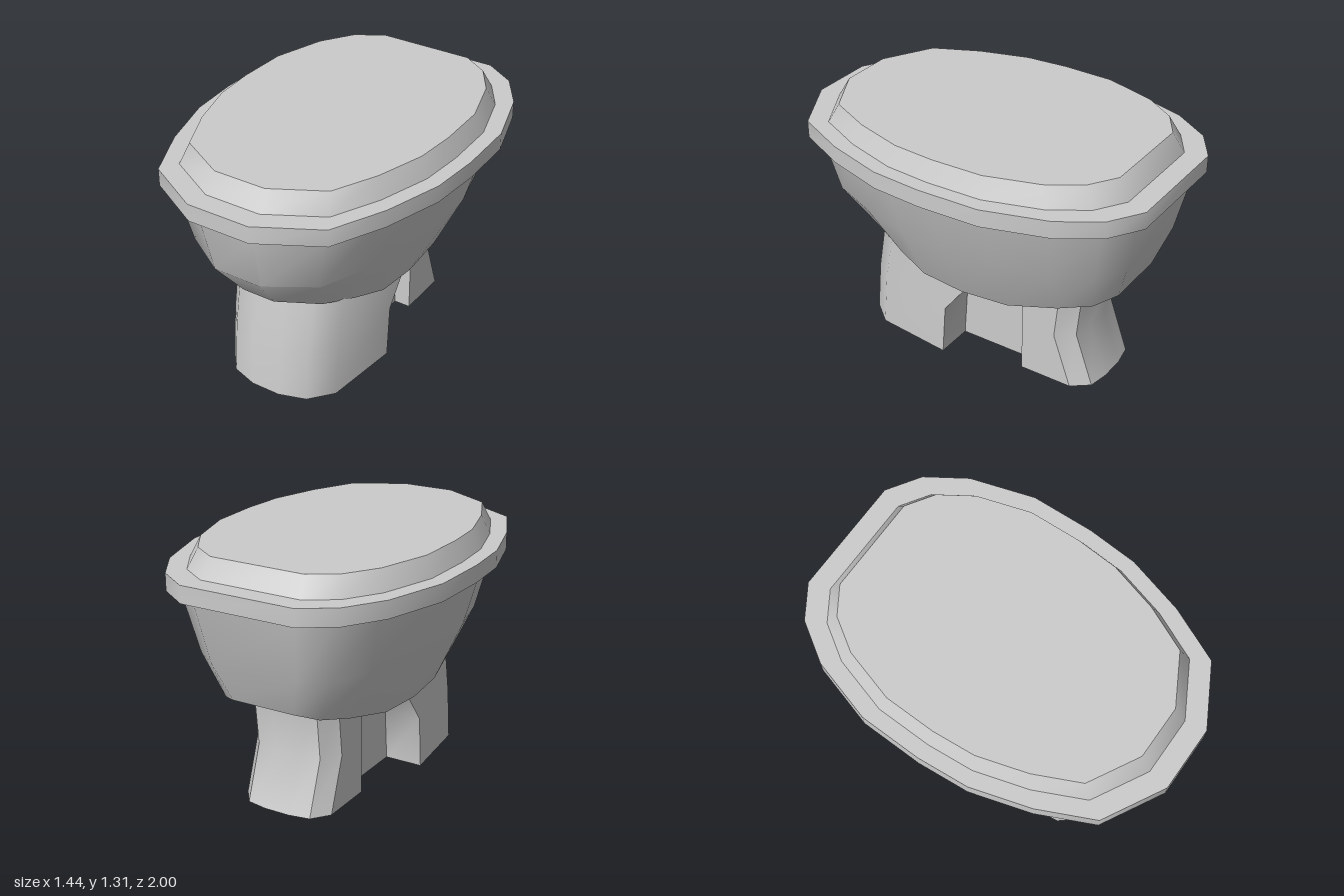
import * as THREE from 'three';
import { toCreasedNormals } from 'three/addons/utils/BufferGeometryUtils.js';

const material = new THREE.MeshStandardMaterial({ color: 0xcccccc });

// Lofts half sections (x >= 0, front to back, listed bottom to top),
// mirrored across x, with caps at both ends.
function loft(name, halfRings) {
  const h = halfRings[0].length;
  const n = h * 2;
  const positions = [];
  const index = [];
  for (const half of halfRings) {
    for (const p of half) positions.push(...p);
    for (const [x, y, z] of [...half].reverse()) positions.push(-x, y, z);
  }
  for (let r = 0; r < halfRings.length - 1; r++) {
    for (let i = 0; i < n; i++) {
      const a = r * n + i;
      const b = r * n + (i + 1) % n;
      index.push(a, b, b + n, a, b + n, a + n);
    }
  }
  const top = (halfRings.length - 1) * n;
  for (let k = 0; k < h - 1; k++) {
    const a = k, b = k + 1, c = n - 2 - k, d = n - 1 - k;
    index.push(top + a, top + b, top + c, top + a, top + c, top + d);
    index.push(a, c, b, a, d, c);
  }
  const geometry = new THREE.BufferGeometry();
  geometry.setAttribute('position', new THREE.Float32BufferAttribute(positions, 3));
  geometry.setIndex(index);
  const mesh = new THREE.Mesh(toCreasedNormals(geometry, 0.65), material);
  mesh.name = name;
  return mesh;
}

// Half of the egg-shaped plan, as [x, z] from front to back
const plan = [
  [0.17, 1], [0.48, 0.83], [0.61, 0.55], [0.70, 0.24], [0.72, -0.03],
  [0.71, -0.36], [0.61, -0.69], [0.48, -0.89], [0.31, -1],
];
const planAt = (y, sx, sz) => plan.map(([x, z]) => [x * sx, y, z * sz]);

// Lower edge of the bowl, arched up at front and back
const bowlEdge = [
  [0.09, 0.60, 0.72], [0.27, 0.565, 0.57], [0.34, 0.517, 0.38],
  [0.39, 0.475, 0.20], [0.40, 0.46, -0.04], [0.39, 0.475, -0.31],
  [0.34, 0.53, -0.57], [0.27, 0.565, -0.73], [0.17, 0.60, -0.81],
];

// Pedestal section: wide front lobe, narrow neck, rear lobe
function pedestalAt(y, front, lobeBack, back) {
  return [
    [0.08, front], [0.22, front - 0.045], [0.32, front - 0.165],
    [0.365, lobeBack], [0.16, lobeBack], [0.16, -0.31], [0.25, -0.31],
    [0.25, back + 0.11], [0.18, back + 0.02], [0.07, back],
  ].map(([x, z]) => [x, y, z]);
}

export function createModel() {
  const model = new THREE.Group();
  model.name = 'toilet';
  model.add(
    loft('pedestal', [
      pedestalAt(0, 0.695, 0.11, -0.71),
      pedestalAt(0.28, 0.67, 0.09, -0.61),
      pedestalAt(0.57, 0.62, -0.13, -0.64),
    ]),
    loft('bowl', [bowlEdge, planAt(0.80, 0.77, 0.88), planAt(1.10, 0.89, 0.945)]),
    loft('seat', [planAt(1.10, 0.89, 0.945), planAt(1.12, 1, 1), planAt(1.21, 1, 1)]),
    loft('lid', [planAt(1.21, 0.89, 0.89), planAt(1.31, 0.83, 0.83)]),
  );
  return model;
}
